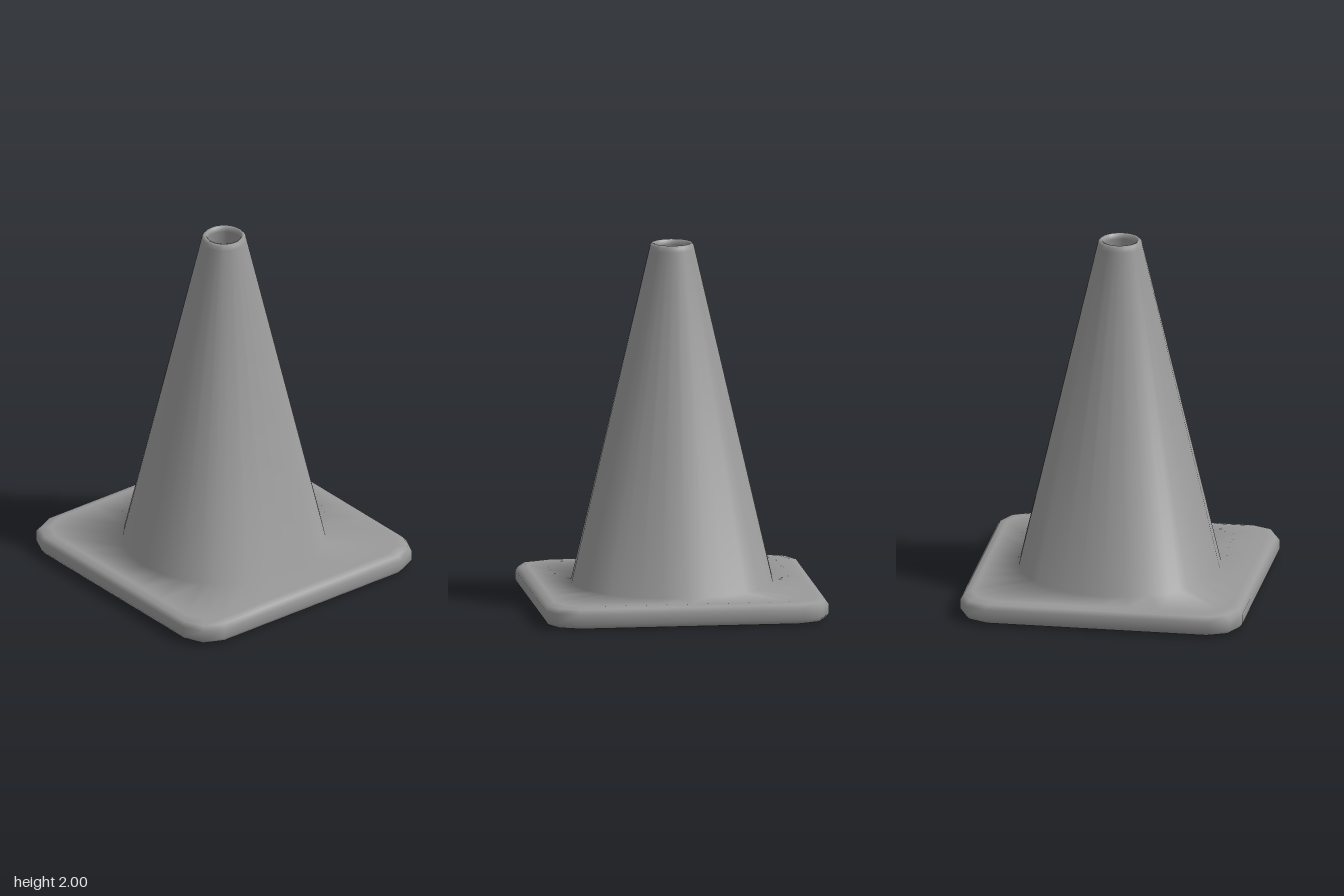
import * as THREE from 'three';

// One quadrant of directions; the middle three hit the cut corners of the base
const QUADRANT = [0, 12.8, 25.7, 38.5, 45, 51.5, 64.3, 77.2];
const ANGLES = [0, 90, 180, 270].flatMap(q => QUADRANT.map(a => THREE.MathUtils.degToRad(q + a)));

// Distance to the edge of a square with two-step cut corners, half width 1
function squareRadius(a) {
  const c = Math.abs(Math.cos(a)), s = Math.abs(Math.sin(a));
  const hi = Math.max(c, s), lo = Math.min(c, s);
  const k = (1 - 0.936) / (0.936 - 0.795); // slope of the corner facet
  return Math.min(1 / hi, (1 + 0.795 * k) / (hi + k * lo));
}

// Closed shell from a loop of rings: [size, height, isSquare]
function loftShell(rings) {
  const n = ANGLES.length, pos = [], index = [];
  for (const [size, y, square] of rings) {
    for (const a of ANGLES) {
      const r = square ? size * squareRadius(a) : size;
      pos.push(r * Math.cos(a), y, r * Math.sin(a));
    }
  }
  for (let i = 0; i < rings.length; i++) {
    const u = ((i + 1) % rings.length) * n;
    for (let j = 0; j < n; j++) {
      const k = (j + 1) % n;
      index.push(i * n + j, u + j, i * n + k, i * n + k, u + j, u + k);
    }
  }
  const g = new THREE.BufferGeometry();
  g.setAttribute('position', new THREE.Float32BufferAttribute(pos, 3));
  g.setIndex(index);
  g.computeVertexNormals();
  return g;
}

export function createModel() {
  const group = new THREE.Group();
  group.name = 'trafficCone';
  const grey = new THREE.MeshStandardMaterial({ color: 0x999999 });
  grey.name = 'grey';

  const shell = loftShell([
    // underside and rounded edge of the square base
    [0.5, 0, false],
    [0.72, 0, true],
    [0.763, 0.01, true],
    [0.78, 0.035, true],
    [0.78, 0.09, true],
    [0.763, 0.115, true],
    [0.72, 0.125, true],
    // outer wall of the cone
    [0.553, 0.125, false],
    [0.125, 1.965, false],
    // rounded lip and hollow inside
    [0.12, 1.988, false],
    [0.108, 2, false],
    [0.095, 1.995, false],
    [0.088, 1.97, false],
  ]);
  const cone = new THREE.Mesh(shell, grey);
  cone.name = 'hollowConeWithBase';
  group.add(cone);
  return group;
}
